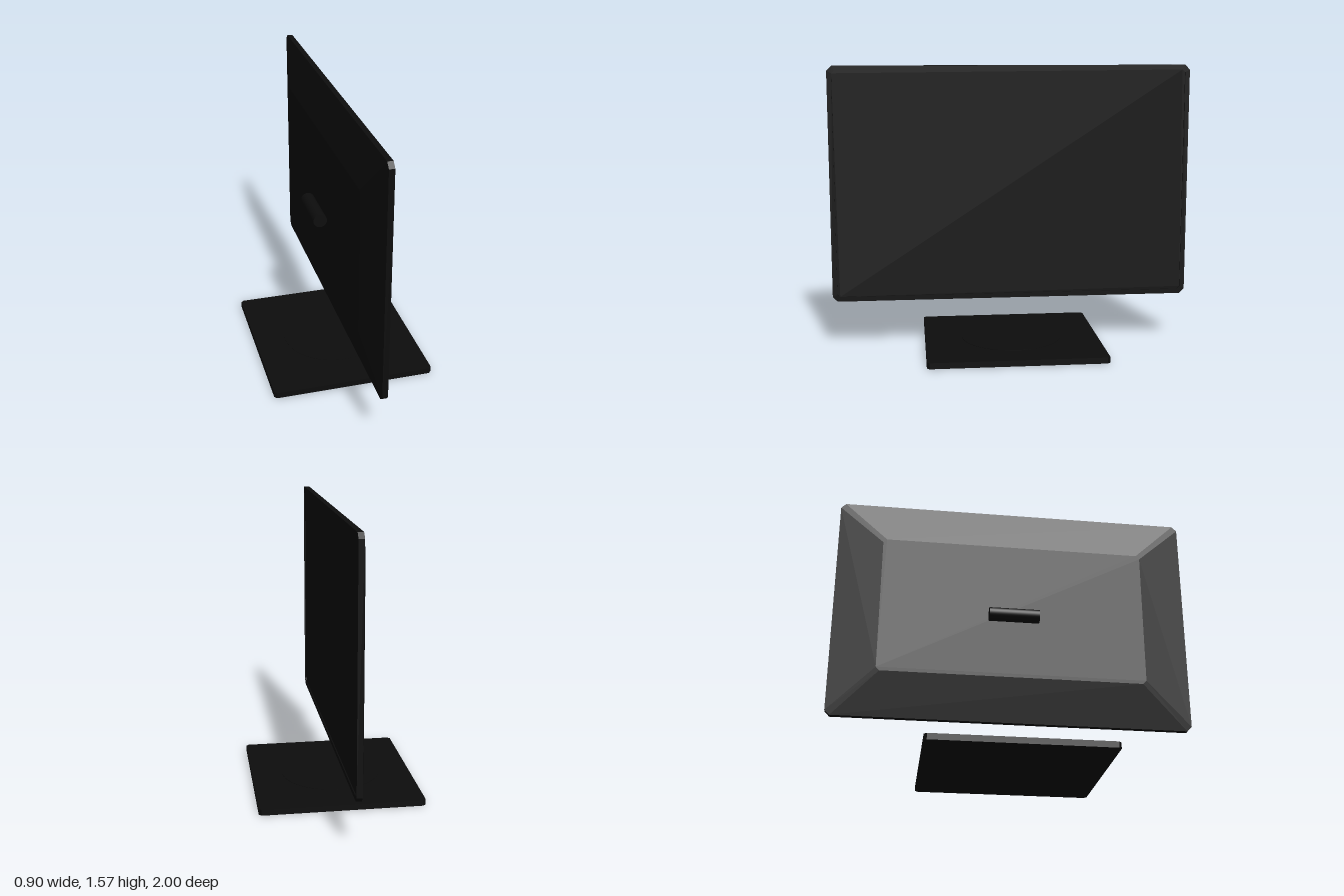
import * as THREE from 'three';

// corner points of a rectangle with cut corners, counter-clockwise
function cutRect(hw, hh, c) {
  return [[hw, -hh + c], [hw, hh - c], [hw - c, hh], [-hw + c, hh],
    [-hw, hh - c], [-hw, -hh + c], [-hw + c, -hh], [hw - c, -hh]]
    .map(([x, y]) => new THREE.Vector2(x, y));
}

function slab(outline, depth, hole) {
  const shape = new THREE.Shape(outline);
  if (hole) shape.holes.push(new THREE.Path(hole));
  return new THREE.ExtrudeGeometry(shape, { depth, bevelEnabled: false });
}

// tapered shell from a small back outline to a larger front one, closed at the back
function taperedShell(back, backZ, front, frontZ) {
  const pos = [];
  const b = back.map(p => [p.x, p.y, backZ]);
  const f = front.map(p => [p.x, p.y, frontZ]);
  const n = b.length;
  for (let i = 0; i < n; i++) {
    const j = (i + 1) % n;
    pos.push(...b[i], ...b[j], ...f[j], ...b[i], ...f[j], ...f[i]);
    if (i > 0 && i < n - 1) pos.push(...b[0], ...b[i + 1], ...b[i]);
  }
  const geo = new THREE.BufferGeometry();
  geo.setAttribute('position', new THREE.Float32BufferAttribute(pos, 3));
  geo.computeVertexNormals();
  return geo;
}

export function createModel() {
  const model = new THREE.Group();
  const black = new THREE.MeshStandardMaterial({ color: 0x0d0d0d });
  black.name = 'black plastic';

  function add(parent, name, geometry) {
    const mesh = new THREE.Mesh(geometry, black);
    mesh.name = name;
    parent.add(mesh);
    return mesh;
  }

  // display, built facing +z and turned to face +x
  const display = new THREE.Group();
  display.name = 'display';
  display.position.y = 0.9175;
  display.rotation.y = Math.PI / 2;
  model.add(display);

  const outline = cutRect(1, 0.6525, 0.027);
  const opening = cutRect(0.974, 0.6265, 0.015);
  add(display, 'bezel', slab(outline, 0.03, opening)).position.z = -0.01;
  add(display, 'screen', slab(opening, 0.025)).position.z = -0.01;
  add(display, 'backShell', taperedShell(cutRect(0.745, 0.405, 0.02), -0.06, outline, -0.01));

  // hinge barrel behind the display
  const hinge = add(model, 'hinge', new THREE.CylinderGeometry(0.038, 0.038, 0.28, 32));
  hinge.rotation.x = Math.PI / 2;
  hinge.position.set(-0.1, 0.868, 0);

  // flat base with a faint round pad
  const base = add(model, 'base', slab(cutRect(0.4525, 0.49, 0.015), 0.033));
  base.rotation.x = -Math.PI / 2;
  const pad = add(model, 'basePad', new THREE.CylinderGeometry(0.28, 0.28, 0.003, 48));
  pad.position.y = 0.0335;

  return model;
}
